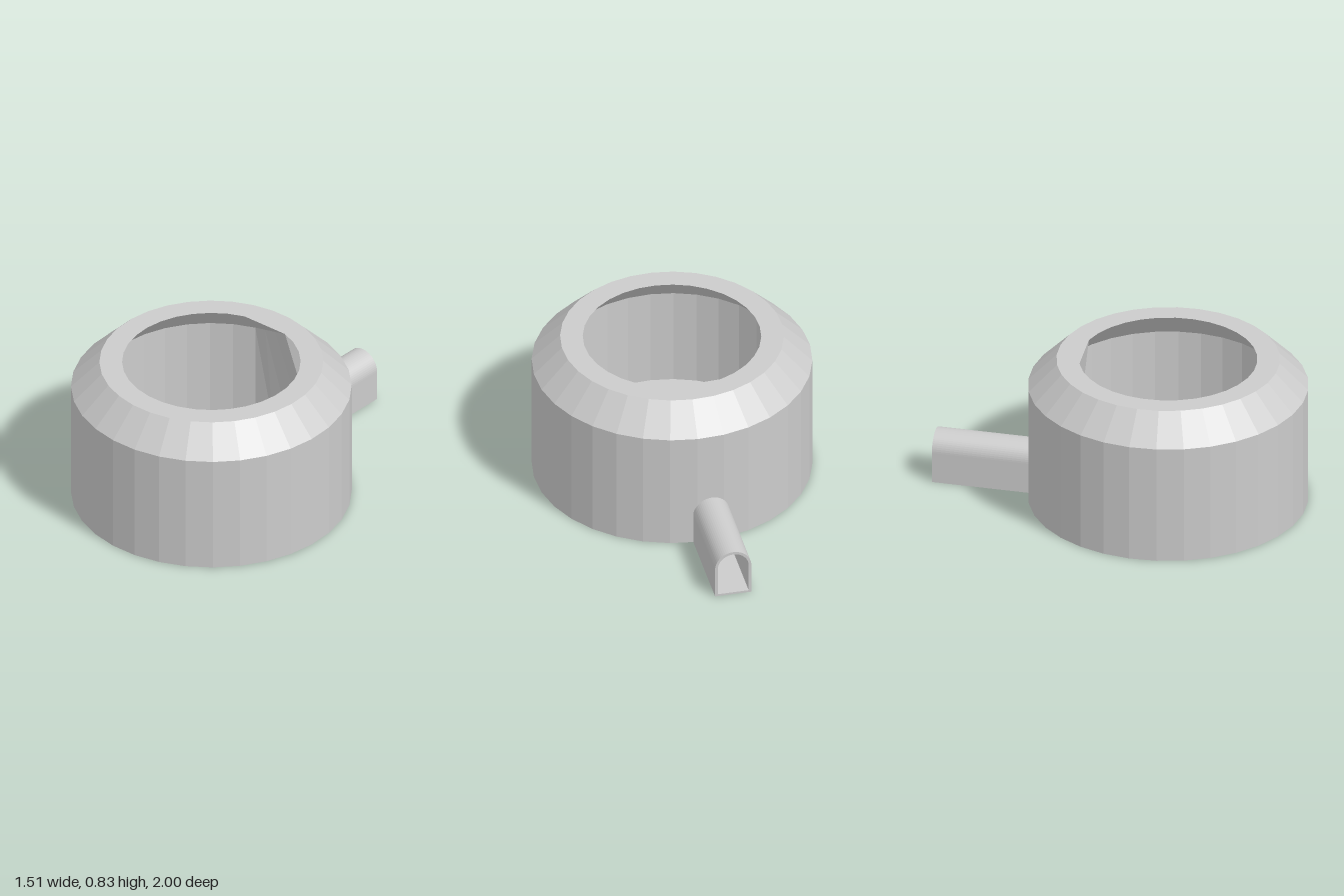
import * as THREE from 'three';

const SIDES = 32;
const CENTRE_Z = 0.245;
const FLAT_END = 3; // the inside is flat between columns 0 and 3, behind the spout

const material = new THREE.MeshStandardMaterial({ color: 0xcccccc, flatShading: true, side: THREE.DoubleSide });

// Horizontal ring of points, starting at the back and turning towards +x
function ring(radius, y) {
  return Array.from({ length: SIDES }, (_, k) => {
    const a = (k / SIDES) * Math.PI * 2;
    return new THREE.Vector3(radius * Math.sin(a), y, -radius * Math.cos(a));
  });
}

// Replaces the arc behind the spout by a straight chord
function flatten(points, end = points[FLAT_END]) {
  points[FLAT_END] = end.clone();
  for (let k = 1; k < FLAT_END; k++) points[k].lerpVectors(points[0], end, k / FLAT_END);
  return points;
}

// Skin through successive rings
function loft(rings) {
  const positions = [];
  for (let j = 0; j < rings.length - 1; j++) {
    for (let k = 0; k < SIDES; k++) {
      const n = (k + 1) % SIDES;
      const a = rings[j][k], b = rings[j + 1][k], c = rings[j + 1][n], d = rings[j][n];
      for (const p of [a, b, c, a, c, d]) positions.push(p.x, p.y, p.z);
    }
  }
  const geometry = new THREE.BufferGeometry();
  geometry.setAttribute('position', new THREE.Float32BufferAttribute(positions, 3));
  geometry.computeVertexNormals();
  return geometry;
}

// Round-topped outline standing on y = bottom
function arch(path, halfWidth, bottom, spring) {
  path.moveTo(-halfWidth, bottom);
  path.lineTo(halfWidth, bottom);
  path.lineTo(halfWidth, spring);
  path.absarc(0, spring, halfWidth, 0, Math.PI, false);
  path.lineTo(-halfWidth, bottom);
  return path;
}

export function createModel() {
  const group = new THREE.Group();

  // Outer shell: base, wall, sloped shoulder
  const outer = new THREE.Mesh(
    loft([ring(0, 0), ring(0.755, 0), ring(0.755, 0.675), ring(0.602, 0.83)]), material);
  outer.name = 'outerShell';

  // Rim and hollow inside
  const rimEdge = flatten(ring(0.48, 0.83));
  const inner = new THREE.Mesh(loft([
    ring(0.602, 0.83),
    rimEdge,
    flatten(ring(0.635, 0.665), rimEdge[FLAT_END]),
    flatten(ring(0.635, 0.1)),
    ring(0, 0.1),
  ]), material);
  inner.name = 'rimAndInside';

  const body = new THREE.Group();
  body.name = 'body';
  body.position.z = CENTRE_Z;
  body.add(outer, inner);
  group.add(body);

  // Arched hollow spout leaving the back at an angle
  const length = 0.62;
  const profile = arch(new THREE.Shape(), 0.1, 0, 0.175);
  profile.holes.push(arch(new THREE.Path(), 0.085, 0.012, 0.175));
  const spoutGeometry = new THREE.ExtrudeGeometry(profile, {
    depth: length, bevelEnabled: false, curveSegments: 14,
  });
  const spout = new THREE.Mesh(spoutGeometry, material);
  spout.name = 'spout';
  spout.position.set(0.394, 0, -0.966); // open end; extrudes back into the body
  spout.rotation.y = THREE.MathUtils.degToRad(-20);
  group.add(spout);

  return group;
}
